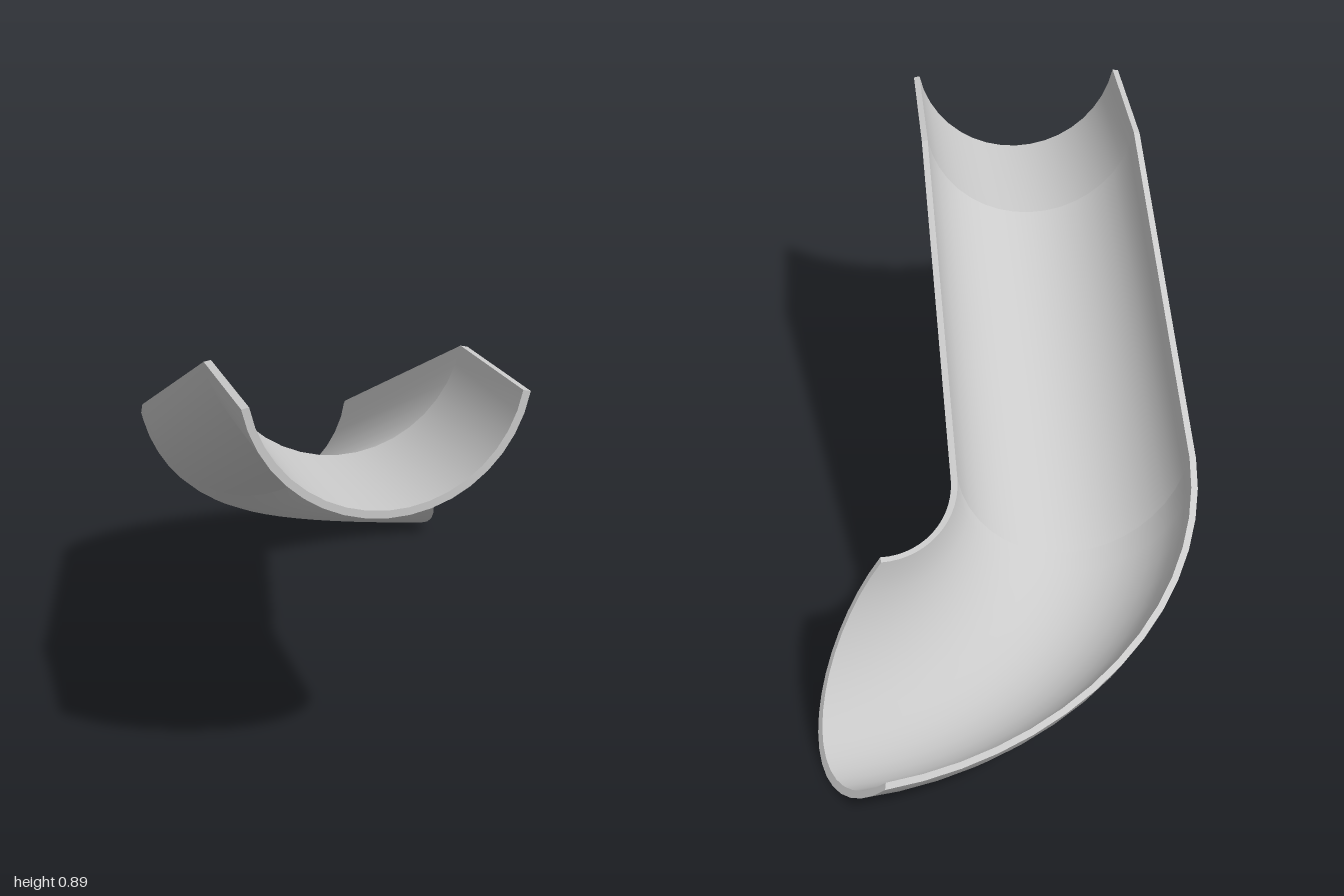
import * as THREE from 'three';
import { toCreasedNormals } from 'three/addons/utils/BufferGeometryUtils.js';

const ARC = 18;                              // facets across the trough
const RIM = THREE.MathUtils.degToRad(79);    // arc half-angle, from bottom to rim
const INNER = 0.946;                         // inner radius / outer radius
const V = (x, y, z) => new THREE.Vector3(x, y, z);

// Closed ring of a trough wall: outer arc, then the inner arc back.
// a, b are the two outer rim points, depth points from their midpoint to the bottom.
function section(a, b, depth) {
  const mid = a.clone().add(b).multiplyScalar(0.5);
  const across = b.clone().sub(a).multiplyScalar(0.5 / Math.sin(RIM));
  const down = depth.clone().divideScalar(1 - Math.cos(RIM));
  const centre = mid.addScaledVector(down, -Math.cos(RIM));
  const point = (i, k) => {
    const t = -RIM + (2 * RIM * i) / ARC;
    return centre.clone()
      .addScaledVector(across, Math.sin(t) * k)
      .addScaledVector(down, Math.cos(t) * k);
  };
  const ring = [];
  for (let i = 0; i <= ARC; i++) ring.push(point(i, 1));
  for (let i = ARC; i >= 0; i--) ring.push(point(i, INNER));
  return ring;
}

// Skin a row of sections, with an end wall where the trough is open.
function loft(rings, capStart, capEnd) {
  const pos = [];
  const quad = (a, b, c, d) => [a, b, c, a, c, d].forEach((p) => pos.push(p.x, p.y, p.z));
  const n = rings[0].length;
  for (let s = 0; s < rings.length - 1; s++) {
    const r = rings[s], q = rings[s + 1];
    for (let i = 0; i < n; i++) {
      const j = (i + 1) % n;
      quad(r[i], q[i], q[j], r[j]);
    }
  }
  for (let i = 0; i < ARC; i++) {
    const o = n - 1 - i;
    const r = rings[0], q = rings[rings.length - 1];
    if (capStart) quad(r[i], r[i + 1], r[o - 1], r[o]);
    if (capEnd) quad(q[i], q[o], q[o - 1], q[i + 1]);
  }
  const geo = new THREE.BufferGeometry();
  geo.setAttribute('position', new THREE.Float32BufferAttribute(pos, 3));
  return toCreasedNormals(geo, 0.6);
}

export function createModel() {
  const group = new THREE.Group();
  group.name = 'slide';
  const material = new THREE.MeshStandardMaterial({ color: 0xcccccc });
  const add = (name, geo) => {
    const mesh = new THREE.Mesh(geo, material);
    mesh.name = name;
    group.add(mesh);
  };

  // Straight runs: level entry, then the slope
  const entry = section(V(-0.46, 0.902, 1), V(0.127, 0.902, 1), V(0, -0.243, 0));
  const kink = section(V(-0.46, 0.902, 0.59), V(0.127, 0.902, 0.59), V(0, -0.243, 0));

  // Quarter bend: both rims follow ellipses while dropping and banking
  const bend = [];
  const steps = 14;
  for (let i = 0; i <= steps; i++) {
    const f = i / steps, t = (f * Math.PI) / 2;
    const c = Math.cos(t), s = Math.sin(t);
    const outer = V(0.31 - 0.765 * c, 0.553 - 0.433 * 0.5 * (s + f), -0.42 - 0.577 * s);
    const inner = V(0.295 - 0.173 * c, 0.42 + 0.103 * (1 - s), -0.42 - 0.14 * s);
    bend.push(section(outer, inner, V(0.155 * f, -0.265 + 0.05 * f * f, 0.04 * f * f)));
  }

  add('entryTrough', loft([entry, kink], true, false));
  add('slopedTrough', loft([kink, bend[0]], false, false));
  add('curvedExit', loft(bend, false, true));

  // Rest the lowest point on the ground
  const drop = new THREE.Box3().setFromObject(group).min.y;
  group.children.forEach((m) => m.geometry.translate(0, -drop, 0));
  return group;
}
